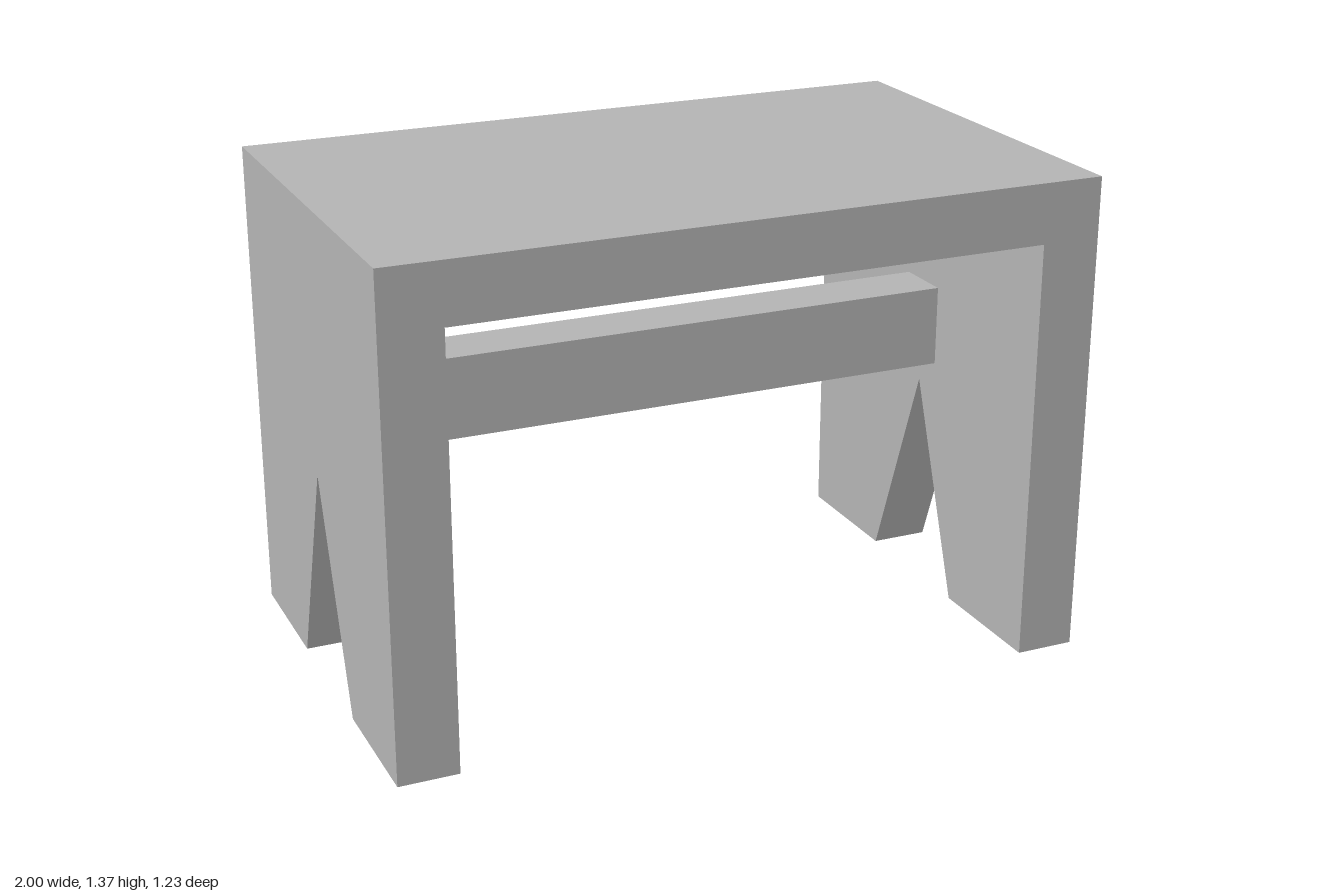
import * as THREE from 'three';

const HEIGHT = 1.37, HALF_DEPTH = 0.613, THICK = 0.168;
const INNER = 1 - THICK; // half the span between the side panels

export function createModel() {
  const group = new THREE.Group();
  group.name = 'stool';
  const grey = new THREE.MeshStandardMaterial({ color: 0xb3b3b3 });
  grey.name = 'plain grey';

  const add = (name, geometry, x, y, z) => {
    const mesh = new THREE.Mesh(geometry, grey);
    mesh.name = name;
    mesh.position.set(x, y, z);
    group.add(mesh);
  };

  // Side panel outline with a V notch that forms two feet
  const outline = new THREE.Shape([
    [-HALF_DEPTH, 0], [-0.224, 0], [0, 0.618], [0.224, 0],
    [HALF_DEPTH, 0], [HALF_DEPTH, HEIGHT], [-HALF_DEPTH, HEIGHT],
  ].map(([z, y]) => new THREE.Vector2(z, y)));
  const panel = new THREE.ExtrudeGeometry(outline, { depth: THICK, bevelEnabled: false });
  panel.rotateY(Math.PI / 2); // extrusion now runs along +x
  add('leftSidePanel', panel, INNER, 0, 0);
  add('rightSidePanel', panel, -1, 0, 0);

  // Seat board, flush with the tops of the side panels
  add('seat', new THREE.BoxGeometry(2 * INNER, THICK, 2 * HALF_DEPTH), 0, HEIGHT - THICK / 2, 0);

  // Stretcher bar joining the side panels
  add('stretcher', new THREE.BoxGeometry(2 * INNER, 0.23, THICK), 0, 0.81, 0);

  return group;
}
